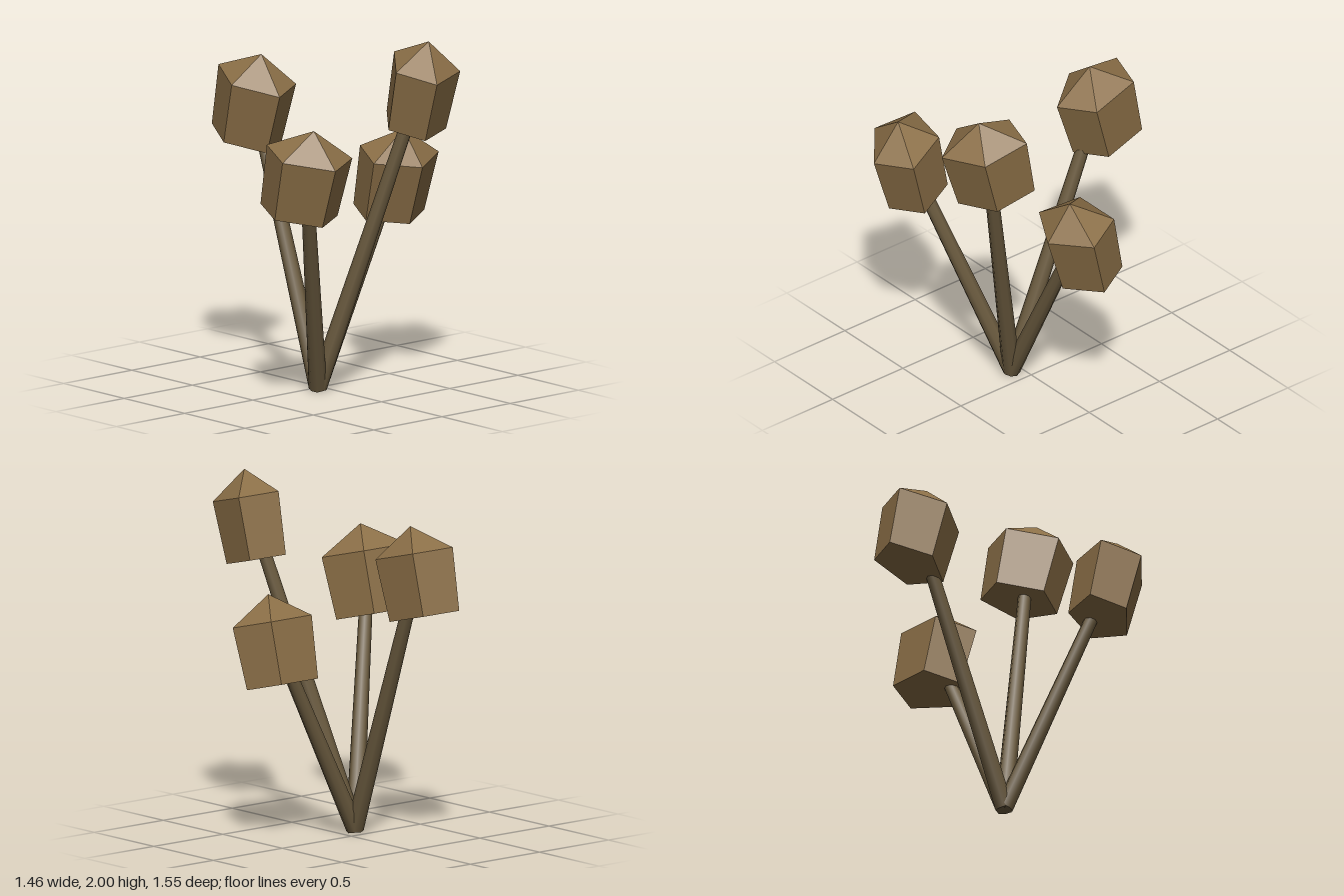
import * as THREE from 'three';

const barkBrown = new THREE.MeshStandardMaterial({ color: 0x6b5b3f });
const podBrown = new THREE.MeshStandardMaterial({ color: 0x8b6f47 });
podBrown.flatShading = true;

const TILT = 0.25; // every pod leans forward
const ROOT = new THREE.Vector3(-0.085, 0.021, 0.07);

// Pod centre and turn about its own axis
const PODS = [
  { at: [0.49, 1.158, 0.068], yaw: 0 },
  { at: [0.265, 1.758, 0.53], yaw: 0.9 },
  { at: [-0.04, 1.558, -0.51], yaw: 4.8 },
  { at: [-0.515, 1.358, 0.46], yaw: 2.42 },
];

// Tapered five-sided body with a low pyramid cap, narrower front to back
function makePod(yaw) {
  const pod = new THREE.Group();
  pod.name = 'pod';

  const bodyGeo = new THREE.CylinderGeometry(0.25, 0.225, 0.35, 5);
  const capGeo = new THREE.ConeGeometry(0.25, 0.15, 5, 1, true);
  bodyGeo.translate(0, -0.075, 0).scale(1, 1, 0.8);
  capGeo.translate(0, 0.175, 0).scale(1, 1, 0.8);

  const body = new THREE.Mesh(bodyGeo, podBrown);
  body.name = 'podBody';
  const cap = new THREE.Mesh(capGeo, podBrown);
  cap.name = 'podCap';
  pod.add(body, cap);
  pod.rotation.set(TILT, yaw, 0);
  return pod;
}

// Tapered stem from the shared root to the middle of a pod
function makeStem(end) {
  const dir = end.clone().sub(ROOT);
  const length = dir.length();
  const geo = new THREE.CylinderGeometry(0.035, 0.05, length, 8);
  geo.translate(0, length / 2, 0);
  const stem = new THREE.Mesh(geo, barkBrown);
  stem.name = 'stem';
  stem.position.copy(ROOT);
  stem.quaternion.setFromUnitVectors(new THREE.Vector3(0, 1, 0), dir.normalize());
  return stem;
}

export function createModel() {
  const model = new THREE.Group();
  model.name = 'podCluster';
  for (const { at, yaw } of PODS) {
    const centre = new THREE.Vector3(...at);
    const pod = makePod(yaw);
    pod.position.copy(centre);
    model.add(makeStem(centre), pod);
  }
  return model;
}
